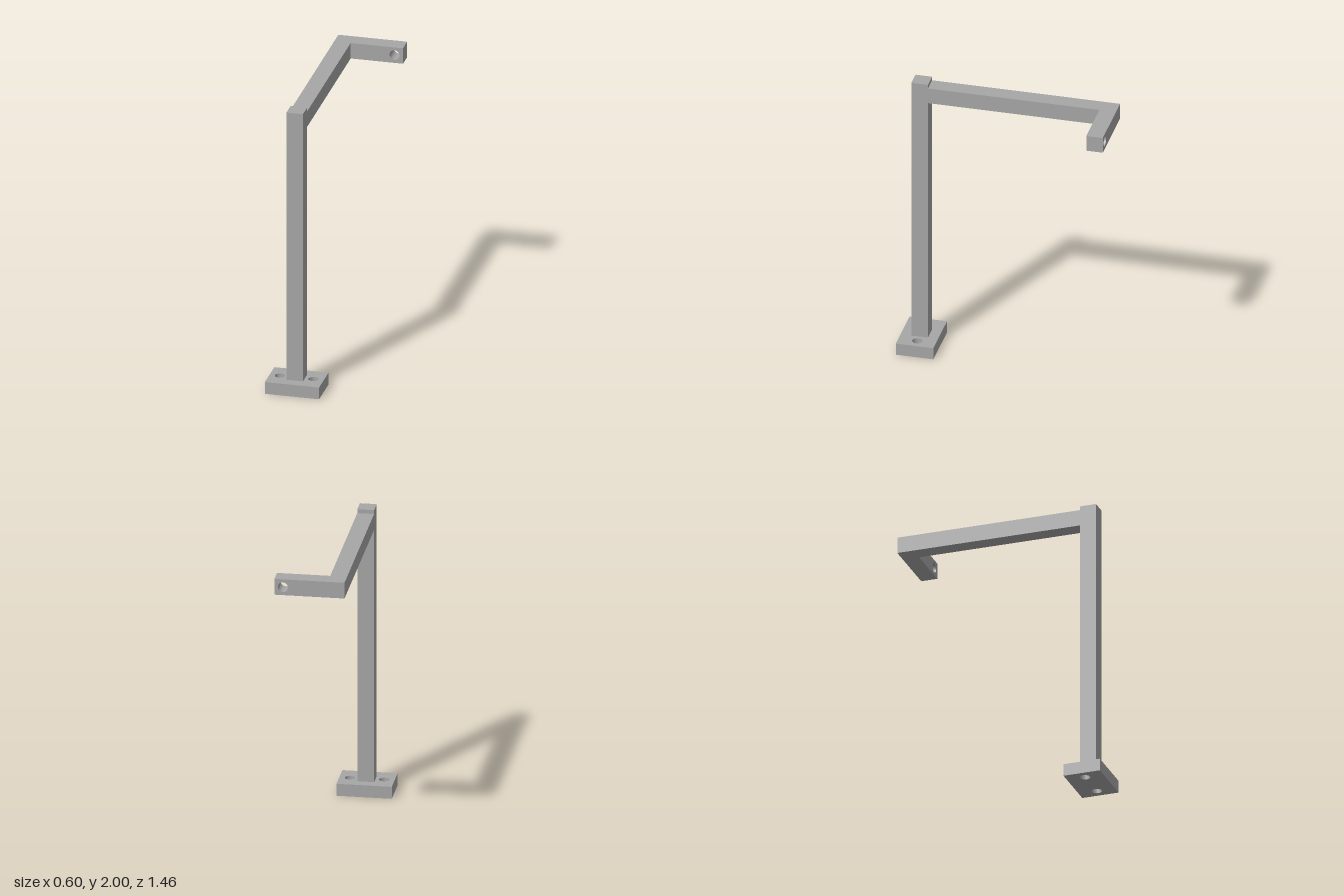
import * as THREE from 'three';

const HOLE_RADIUS = 0.034;

// Rectangular bar with round through-holes, extruded along +z from 0 to depth
function drilledBar(x0, x1, y0, y1, depth, holes) {
  const shape = new THREE.Shape();
  shape.moveTo(x0, y0);
  shape.lineTo(x1, y0);
  shape.lineTo(x1, y1);
  shape.lineTo(x0, y1);
  shape.closePath();
  for (const [x, y] of holes) {
    const hole = new THREE.Path();
    hole.absarc(x, y, HOLE_RADIUS, 0, Math.PI * 2, true);
    shape.holes.push(hole);
  }
  return new THREE.ExtrudeGeometry(shape, { depth, bevelEnabled: false, curveSegments: 32 });
}

// Box given by its minimum and maximum corners
function boxBetween([x0, y0, z0], [x1, y1, z1]) {
  return new THREE.BoxGeometry(x1 - x0, y1 - y0, z1 - z0)
    .translate((x0 + x1) / 2, (y0 + y1) / 2, (z0 + z1) / 2);
}

export function createModel() {
  const model = new THREE.Group();
  model.name = 'bracketStand';
  const grey = new THREE.MeshStandardMaterial({ color: 0xa6a6a6 });
  grey.name = 'grey';

  const add = (name, geometry) => {
    const mesh = new THREE.Mesh(geometry, grey);
    mesh.name = name;
    model.add(mesh);
  };

  const left = -0.17, right = -0.058; // sides shared by post and arm
  const armBottom = 1.862, armTop = 1.973;
  const baseTop = 0.084;
  const postBack = 0.545, hookFront = -0.618, hookBack = -0.73;

  // Base plate with two screw holes, drawn flat and turned to lie on the ground
  add('basePlate', drilledBar(-0.298, 0.07, -0.73, -0.476, baseTop, [[-0.228, -0.602], [0, -0.602]])
    .rotateX(-Math.PI / 2));

  // Upright post
  add('post', boxBetween([left, baseTop, postBack], [right, 2, 0.657]));

  // Long arm reaching backwards
  add('arm', boxBetween([left, armBottom, hookFront], [right, armTop, postBack]));

  // Sideways end of the arm with its hole
  add('armEnd', drilledBar(left, 0.297, armBottom, armTop, hookFront - hookBack, [[0.24, 1.918]])
    .translate(0, 0, hookBack));

  return model;
}
